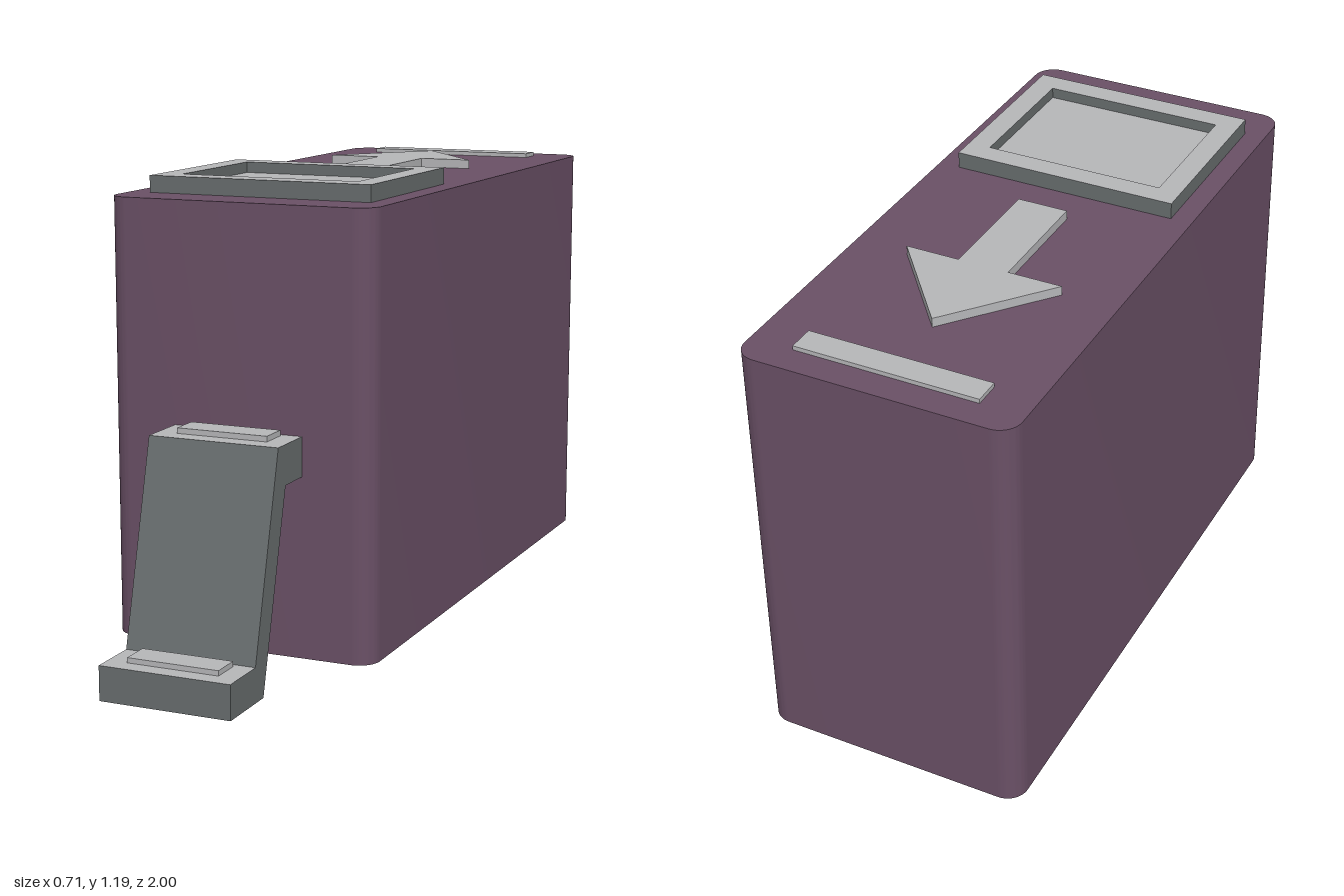
import * as THREE from 'three';
import { toCreasedNormals } from 'three/addons/utils/BufferGeometryUtils.js';

const mat = (name, color) => new THREE.MeshStandardMaterial({ name, color });

// Shape from [x, z] floor points; y of the shape is -z so it can be laid flat.
function floorShape(points) {
  return new THREE.Shape(points.map(([x, z]) => new THREE.Vector2(x, -z)));
}

const rectangle = (x, z0, z1) => [[-x, z1], [x, z1], [x, z0], [-x, z0]];

// Extrude a floor shape upward from y0 to y1.
function raise(shape, y0, y1) {
  return new THREE.ExtrudeGeometry(shape, { depth: y1 - y0, bevelEnabled: false, curveSegments: 8 })
    .rotateX(-Math.PI / 2)
    .translate(0, y0, 0);
}

// Material 0 on the sides, material 1 on faces that look straight up.
function splitTops(geometry) {
  const normal = geometry.attributes.normal;
  geometry.clearGroups();
  for (let i = 0; i < normal.count; i += 3) {
    geometry.addGroup(i, 3, normal.getY(i) > 0.9 ? 1 : 0);
  }
  return geometry;
}

export function createModel() {
  const model = new THREE.Group();
  const purple = mat('purple', 0x6a5066);
  const light = mat('light grey', 0xb6b7b9);
  const dark = mat('dark grey', 0x686d6e);

  const add = (name, geometry, material) => {
    const mesh = new THREE.Mesh(geometry, material);
    mesh.name = name;
    model.add(mesh);
  };

  // Tall body with rounded upright corners
  const w = 0.356, back = -1, front = 0.6, r = 0.055;
  const outline = new THREE.Shape();
  outline.absarc(w - r, -back - r, r, 0, Math.PI / 2);
  outline.absarc(-w + r, -back - r, r, Math.PI / 2, Math.PI);
  outline.absarc(-w + r, -front + r, r, Math.PI, Math.PI * 1.5);
  outline.absarc(w - r, -front + r, r, Math.PI * 1.5, Math.PI * 2);
  add('body', toCreasedNormals(raise(outline, 0.03, 1.15), 0.6), purple);

  // Framed panel with a sunken floor
  const frame = floorShape(rectangle(0.3, -0.015, 0.477));
  frame.holes.push(floorShape(rectangle(0.24, 0.045, 0.415)));
  add('panelFrame', splitTops(raise(frame, 1.15, 1.193)), [dark, light]);
  add('panelFloor', raise(floorShape(rectangle(0.24, 0.045, 0.415)), 1.15, 1.165), light);

  // Raised arrow and bar
  const arrow = [
    [-0.067, -0.13], [0.067, -0.13], [0.067, -0.45], [0.21, -0.45],
    [0, -0.705], [-0.21, -0.45], [-0.067, -0.45],
  ];
  add('arrow', raise(floorShape(arrow), 1.15, 1.174), light);
  add('bar', raise(floorShape(rectangle(0.24, -0.925, -0.855)), 1.15, 1.161), light);

  // Stepped front bracket: side profile as [z, y], extruded across x
  const half = 0.173;
  const profile = [
    [0.6, 0.59], [0.6, 0.49], [0.695, 0.49], [0.825, 0],
    [1, 0], [1, 0.088], [0.867, 0.088], [0.735, 0.59],
  ];
  const side = new THREE.Shape(profile.map(([z, y]) => new THREE.Vector2(-z, y)));
  const bracket = new THREE.ExtrudeGeometry(side, { depth: half * 2, bevelEnabled: false })
    .rotateY(Math.PI / 2)
    .translate(-half, 0, 0);
  add('bracket', splitTops(bracket), [dark, light]);

  // Thin pads on both bracket steps
  add('upperPad', raise(floorShape(rectangle(0.121, 0.612, 0.688)), 0.59, 0.604), light);
  add('lowerPad', raise(floorShape(rectangle(0.121, 0.88, 0.956)), 0.088, 0.101), light);

  return model;
}
